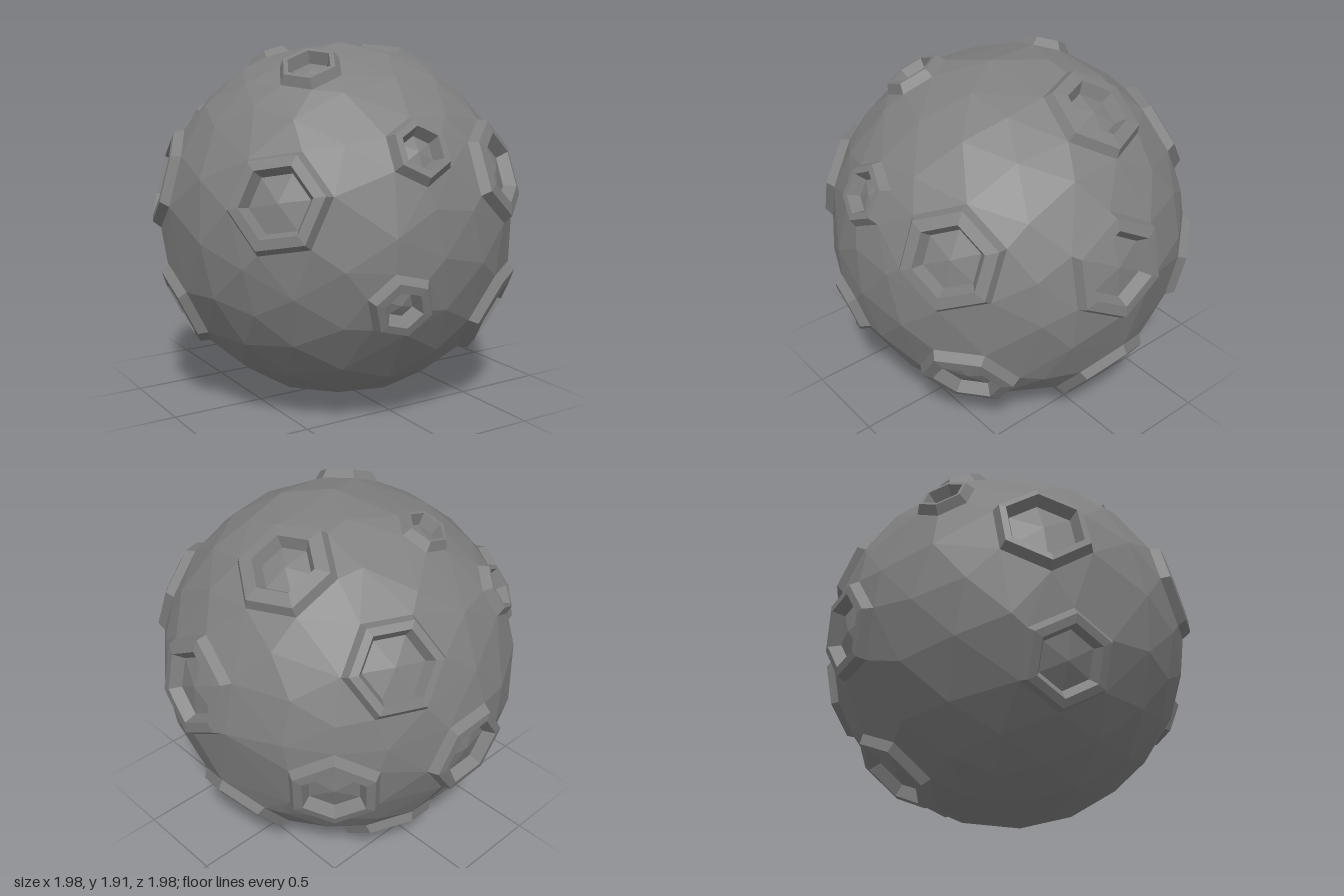
import * as THREE from 'three';
import { mergeVertices } from 'three/addons/utils/BufferGeometryUtils.js';
import { ConvexGeometry } from 'three/addons/geometries/ConvexGeometry.js';

const R = 0.96;      // ground radius
const RIM = 1.003;   // radius of the raised rims

// Craters: direction x, y, z, outer size, hole size, floor size, twist in degrees
const CRATERS = [
  [0.495, 0.325, 0.76, 0.28, 0.18, 0.155, 10],
  [-0.065, 0.465, 0.85, 0.18, 0.11, 0.09, 0],
  [-0.70, 0.23, 0.60, 0.27, 0.18, 0.16, 20],
  [-0.205, -0.275, 0.92, 0.18, 0.10, 0.07, -15],
  [0.51, -0.42, 0.68, 0.27, 0.175, 0.15, 25],
  [-0.36, 0.84, 0.32, 0.175, 0.115, 0.10, 42],
  [0.505, 0.825, -0.15, 0.27, 0.16, 0.135, 23],
  [0.965, 0.215, 0.07, 0.29, 0.195, 0.17, 0],
  [0.355, 0.47, -0.76, 0.265, 0.185, 0.165, 30],
  [0.665, -0.18, -0.665, 0.26, 0.175, 0.15, 0],
  [0.75, -0.59, -0.04, 0.27, 0.20, 0.185, 0],
  [0.17, -0.75, -0.57, 0.26, 0.185, 0.165, 10],
  [-0.465, 0.505, -0.66, 0.16, 0.105, 0.09, 0],
  [-0.185, 0.845, -0.41, 0.145, 0.095, 0.08, 0],
  [-0.862, 0.25, -0.33, 0.27, 0.20, 0.185, -5],
  [0.01, -0.11, -0.956, 0.26, 0.18, 0.155, 25],
  [-0.84, -0.42, -0.19, 0.25, 0.17, 0.15, 0],
].map(([x, y, z, outer, hole, floor, twist]) => ({
  dir: new THREE.Vector3(x, y, z).normalize(),
  outer, hole, floor, twist: THREE.MathUtils.degToRad(twist),
}));

// Six points around a crater at a given width and height above the centre
function ring(crater, width, radius) {
  const n = crater.dir;
  const up = new THREE.Vector3(0, 1, 0).addScaledVector(n, -n.y).normalize();
  const side = up.clone().cross(n);
  const a = width / R;
  return Array.from({ length: 6 }, (_, i) => {
    const t = crater.twist + i * Math.PI / 3;
    return n.clone().multiplyScalar(Math.cos(a))
      .addScaledVector(up, Math.sin(a) * Math.cos(t))
      .addScaledVector(side, Math.sin(a) * Math.sin(t))
      .multiplyScalar(radius);
  });
}

// Flat-faced geometry from a list of triangle corners
function facets(points) {
  const g = new THREE.BufferGeometry().setFromPoints(points);
  g.computeVertexNormals();
  return g;
}

// Outer slope, flat rim, inner wall and domed floor
function craterGeometry(c) {
  const rings = [
    ring(c, c.outer, R),
    ring(c, c.outer - 0.035, RIM),
    ring(c, c.hole, RIM - 0.003),
    ring(c, c.floor, 0.935),
  ];
  const centre = c.dir.clone().multiplyScalar(0.95);
  const points = [];
  for (let i = 0; i < 6; i++) {
    const j = (i + 1) % 6;
    for (let k = 0; k < 3; k++) {
      const a = rings[k], b = rings[k + 1];
      points.push(a[i], b[i], b[j], a[i], b[j], a[j]);
    }
    points.push(rings[3][i], centre, rings[3][j]);
  }
  return facets(points);
}

// Faceted ball whose edges meet the crater outlines, open under each crater
function groundGeometry() {
  let ball = new THREE.IcosahedronGeometry(R, 3);
  ball.deleteAttribute('normal');
  ball.deleteAttribute('uv');
  ball.rotateX(0.35).rotateZ(0.2);
  ball = mergeVertices(ball, 1e-3);
  const read = (g) => Array.from({ length: g.attributes.position.count },
    (_, i) => new THREE.Vector3().fromBufferAttribute(g.attributes.position, i));
  const points = read(ball).filter(
    p => CRATERS.every(c => p.angleTo(c.dir) > c.outer / R + 0.09));
  CRATERS.forEach(c => points.push(...ring(c, c.outer, R)));

  const hull = read(new ConvexGeometry(points));
  const kept = [];
  for (let i = 0; i < hull.length; i += 3) {
    const tri = hull.slice(i, i + 3);
    const covered = CRATERS.some(
      c => tri.every(p => p.angleTo(c.dir) < c.outer / R + 0.004));
    if (!covered) kept.push(...tri);
  }
  return facets(kept);
}

export function createModel() {
  const rock = new THREE.MeshStandardMaterial({ color: 0x808080 });
  rock.name = 'grey rock';
  const model = new THREE.Group();
  model.name = 'moon';

  const body = new THREE.Group();
  body.name = 'body';
  body.position.set(-0.01, 0.955, 0);
  model.add(body);

  const add = (name, geometry) => {
    const mesh = new THREE.Mesh(geometry, rock);
    mesh.name = name;
    body.add(mesh);
  };
  add('ground', groundGeometry());
  CRATERS.forEach((c, i) => add(`crater${i + 1}`, craterGeometry(c)));
  return model;
}
